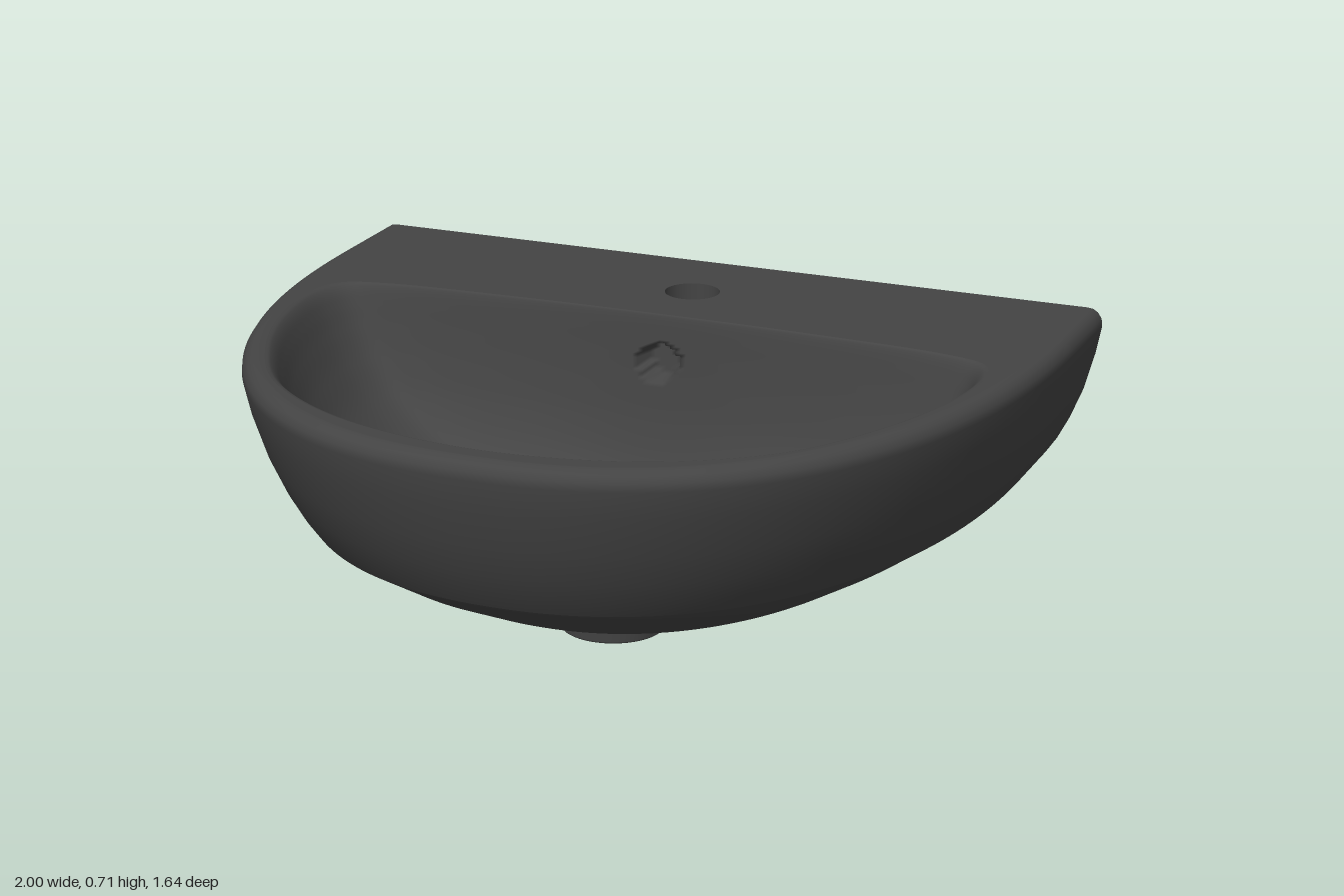
import * as THREE from 'three';
import { mergeVertices } from 'three/addons/utils/BufferGeometryUtils.js';

const BACK = -0.82, TOP = 0.715, BASE = 0.155, DRAIN_Z = -0.045;

// Skin a list of equally long point rings
function loft(rings) {
  const n = rings[0].length, pos = [], idx = [];
  rings.forEach(r => r.forEach(p => pos.push(p.x, p.y, p.z)));
  for (let i = 0; i < rings.length - 1; i++) {
    for (let j = 0; j < n - 1; j++) {
      const a = i * n + j, b = a + 1, c = a + n, d = c + 1;
      idx.push(a, c, b, b, c, d);
    }
  }
  let geo = new THREE.BufferGeometry();
  geo.setAttribute('position', new THREE.Float32BufferAttribute(pos, 3));
  geo.setIndex(idx);
  geo = mergeVertices(geo, 1e-5);
  geo.computeVertexNormals();
  return geo;
}

// D-shaped plan line: straight sides at the back, rounded front, fuller towards the top
function planRing(y, halfWidth, front) {
  const zc = -0.6, e = 2 / (2.15 + 0.15 * Math.min(1, (y - BASE) / 0.5)), pts = [];
  for (let i = 0; i < 4; i++) pts.push(new THREE.Vector3(halfWidth, y, BACK + (zc - BACK) * i / 4));
  for (let i = 0; i <= 96; i++) {
    const a = Math.PI * i / 96, c = Math.cos(a), s = Math.max(0, Math.sin(a));
    pts.push(new THREE.Vector3(
      Math.sign(c) * halfWidth * Math.abs(c) ** e, y, zc + (front - zc) * s ** e));
  }
  for (let i = 3; i >= 0; i--) pts.push(new THREE.Vector3(-halfWidth, y, BACK + (zc - BACK) * i / 4));
  return pts;
}

function circleHole(x, y, r) {
  return new THREE.Path().absarc(x, y, r, 0, Math.PI * 2, true);
}

export function createModel() {
  const group = new THREE.Group();
  const ceramic = new THREE.MeshStandardMaterial({ color: 0x444444, side: THREE.DoubleSide });
  ceramic.name = 'dark grey ceramic';
  const add = (name, geo, parent = group) => {
    const m = new THREE.Mesh(geo, ceramic);
    m.name = name;
    parent.add(m);
    return m;
  };

  // Outer shell: [height, half width, front z]
  const lower = [[BASE, 0.635, 0.39], [0.235, 0.755, 0.552], [0.32, 0.87, 0.69]];
  const upper = [[0.32, 0.87, 0.69], [0.36, 0.897, 0.716], [0.42, 0.928, 0.747], [0.5, 0.96, 0.779],
    [0.6, 0.987, 0.807], [0.67, 1, 0.82], [0.69, 0.998, 0.818], [0.705, 0.988, 0.808],
    [0.713, 0.975, 0.795], [TOP, 0.96, 0.78]];
  add('lowerShell', loft(lower.map(p => planRing(...p))));
  add('upperShell', loft(upper.map(p => planRing(...p))));

  // Bowl rim line
  const half = [[0.4, -0.345], [0.75, -0.32], [0.855, -0.285], [0.892, -0.2], [0.875, 0],
    [0.79, 0.25], [0.635, 0.495], [0.37, 0.67]];
  const rimPts = [[0, -0.352], ...half, [0, 0.74], ...half.map(([x, z]) => [-x, z]).reverse()];
  const rim = new THREE.CatmullRomCurve3(
    rimPts.map(([x, z]) => new THREE.Vector3(x, TOP, z)), true).getSpacedPoints(320);

  // Flat rim and tap deck
  const deckShape = new THREE.Shape(planRing(TOP, 0.96, 0.78).map(p => new THREE.Vector2(p.x, -p.z)));
  deckShape.holes.push(new THREE.Path(rim.slice(0, -1).map(p => new THREE.Vector2(p.x, -p.z))));
  deckShape.holes.push(circleHole(0, 0.56, 0.07));
  add('deck', new THREE.ShapeGeometry(deckShape, 32).rotateX(-Math.PI / 2).translate(0, TOP, 0));

  // Bowl: [fraction from rim to drain, height], with a recessed overflow opening
  const section = new THREE.SplineCurve([[0, TOP], [0.018, 0.71], [0.038, 0.693], [0.06, 0.662],
    [0.095, 0.608], [0.155, 0.53], [0.25, 0.442], [0.4, 0.362], [0.6, 0.303], [0.8, 0.267], [1, 0.25]]
    .map(p => new THREE.Vector2(...p))).getPoints(80);
  add('bowl', loft(section.map(({ x: t, y }) => rim.map(p => {
    const a = Math.atan2(p.z - DRAIN_Z, p.x);
    const v = new THREE.Vector3(
      THREE.MathUtils.lerp(p.x, 0.15 * Math.cos(a), t), y,
      THREE.MathUtils.lerp(p.z, DRAIN_Z + 0.15 * Math.sin(a), t));
    if (v.z < -0.2 && Math.hypot(v.x, v.y - 0.593) < 0.046) v.z -= 0.05;
    return v;
  }))));

  // Drain: countersunk seat, bore and outlet
  const drain = [[0.15, 0.25], [0.138, 0.246], [0.12, 0.23], [0.095, 0.205], [0.091, 0.195], [0.09, 0.005],
    [0.092, 0], [0.13, 0], [0.136, 0.006], [0.14, 0.11], [0.144, 0.13], [0.156, 0.145], [0.185, BASE]];
  add('drainOutlet', new THREE.LatheGeometry(drain.map(p => new THREE.Vector2(...p)), 64))
    .position.z = DRAIN_Z;

  // Overflow channel under the basin: [z, lowest height, half width]
  const channel = [[-0.15, 0.012, 0.16], [-0.175, 0.02, 0.16], [-0.19, 0.034, 0.162], [-0.22, 0.041, 0.165],
    [-0.27, 0.056, 0.17], [-0.31, 0.076, 0.17], [-0.35, 0.108, 0.165], [-0.375, 0.135, 0.15],
    [-0.395, BASE, 0.13]];
  add('overflowChannel', loft(channel.map(([z, y, w]) => Array.from({ length: 33 }, (_, i) => {
    const u = i / 16 - 1;
    const drop = Math.max(0, Math.cos(u * Math.PI / 2)) ** 1.3;
    return new THREE.Vector3(u * w, BASE - (BASE - y) * drop, z);
  }))));

  // Underside
  const baseShape = new THREE.Shape(planRing(BASE, 0.635, 0.39).map(p => new THREE.Vector2(p.x, p.z)));
  baseShape.holes.push(circleHole(0, DRAIN_Z, 0.12));
  add('underside', new THREE.ShapeGeometry(baseShape, 32).rotateX(Math.PI / 2).translate(0, BASE, 0));

  // Wall face with two fixing holes
  const side = [...lower, ...upper.slice(1)];
  const wallShape = new THREE.Shape([
    ...side.map(([y, w]) => new THREE.Vector2(w, y)),
    ...side.map(([y, w]) => new THREE.Vector2(-w, y)).reverse()]);
  for (const s of [1, -1]) wallShape.holes.push(circleHole(s * 0.445, 0.5, 0.052));
  add('wallFace', new THREE.ShapeGeometry(wallShape, 32).rotateY(Math.PI).translate(0, 0, BACK));

  // Blind hole opening along +y
  const blindHole = (name, r, depth) => {
    const hole = new THREE.Group();
    hole.name = name;
    const wall = new THREE.LatheGeometry([new THREE.Vector2(r, 0), new THREE.Vector2(r, -depth)], 40);
    add(name + 'Wall', wall, hole);
    add(name + 'Floor', new THREE.CircleGeometry(r, 40).rotateX(-Math.PI / 2), hole).position.y = -depth;
    group.add(hole);
    return hole;
  };
  blindHole('tapHole', 0.07, 0.08).position.set(0, TOP, -0.56);
  for (const s of [1, -1]) {
    const hole = blindHole(s > 0 ? 'leftFixingHole' : 'rightFixingHole', 0.052, 0.08);
    hole.position.set(s * 0.445, 0.5, BACK);
    hole.rotation.x = -Math.PI / 2;
  }
  return group;
}
